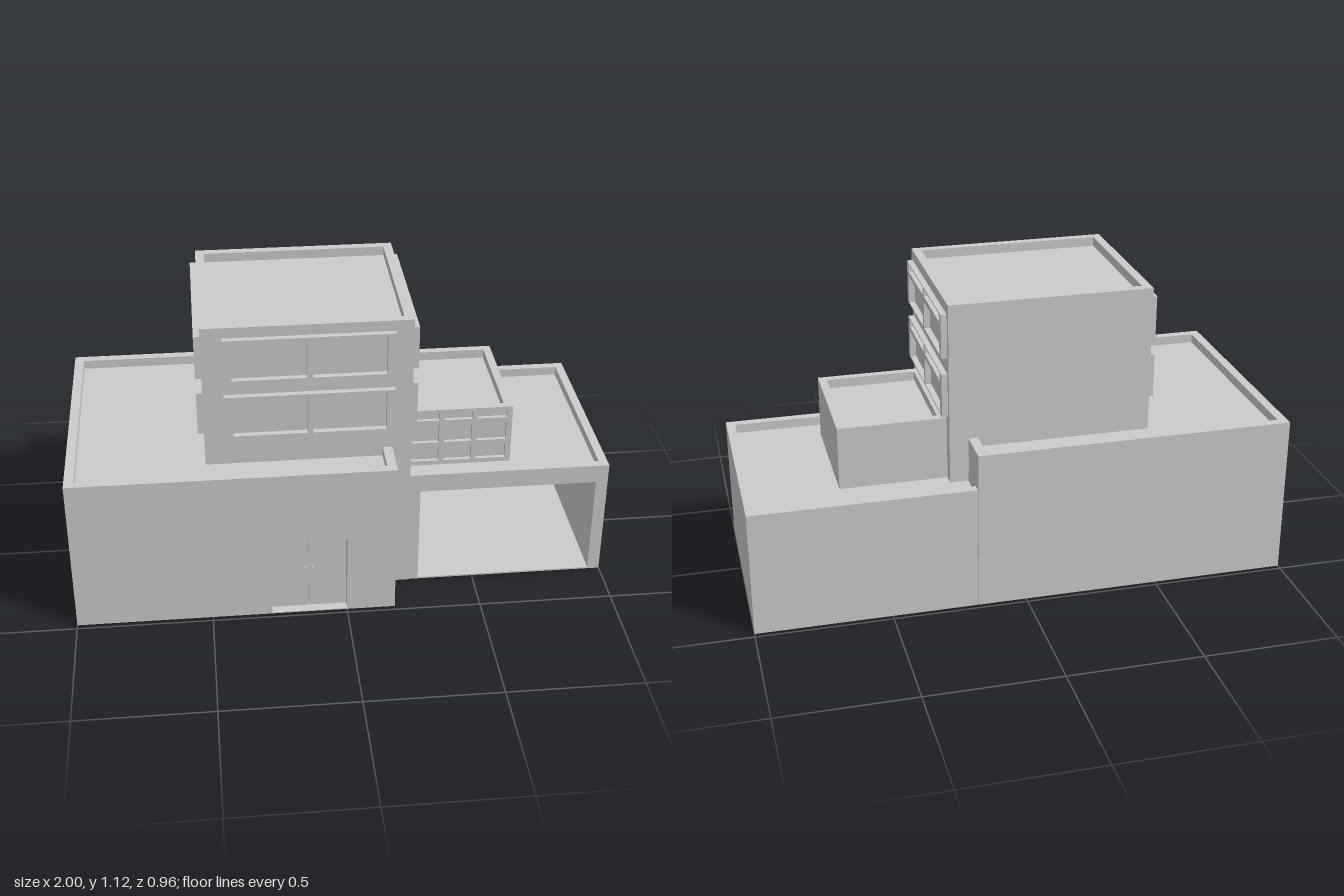
import * as THREE from 'three';

const mat = new THREE.MeshStandardMaterial({ color: 0xcccccc, flatShading: true, side: THREE.DoubleSide });

function add(parent, name, geometry, x = 0, y = 0, z = 0) {
  const mesh = new THREE.Mesh(geometry, mat);
  mesh.name = name;
  mesh.position.set(x, y, z);
  parent.add(mesh);
  return mesh;
}

// Rectangle [x0, x1, y0, y1] with rectangular holes
function rectShape([x0, x1, y0, y1], holes = []) {
  const pts = (a, b, c, d) => [[a, c], [b, c], [b, d], [a, d]].map(p => new THREE.Vector2(...p));
  const shape = new THREE.Shape(pts(x0, x1, y0, y1));
  for (const [a, b, c, d] of holes) shape.holes.push(new THREE.Path(pts(a, b, c, d).reverse()));
  return shape;
}

// Open-bottomed volume with a parapet and sunken roof; the front wall may have holes
function block(parent, name, { x0, x1, z0, z1, y0, y1, rim, leftRim = rim, sink = 0.035, holes = [] }) {
  const group = new THREE.Group();
  group.name = name;
  parent.add(group);
  const ring = (l, r, y) => [[x0 + l, y, z1 - r], [x1 - r, y, z1 - r], [x1 - r, y, z0 + r], [x0 + l, y, z0 + r]];
  const rings = [ring(0, 0, y0), ring(0, 0, y1), ring(leftRim, rim, y1), ring(leftRim, rim, y1 - sink)];
  const pos = [];
  const quad = (a, b, c, d) => pos.push(...a, ...b, ...c, ...a, ...c, ...d);
  for (let i = 0; i < 3; i++) {
    for (let j = 0; j < 4; j++) {
      if (i === 0 && j === 0) continue; // front wall is separate
      const k = (j + 1) % 4;
      quad(rings[i][j], rings[i][k], rings[i + 1][k], rings[i + 1][j]);
    }
  }
  quad(...rings[3]);
  const geo = new THREE.BufferGeometry();
  geo.setAttribute('position', new THREE.Float32BufferAttribute(pos, 3));
  geo.computeVertexNormals();
  add(group, name + 'WallsAndRoof', geo);
  add(group, name + 'FrontWall', new THREE.ShapeGeometry(rectShape([x0, x1, y0, y1], holes)), 0, 0, z1);
  return group;
}

// Box without its front face, lining an opening
function recess(parent, name, [x0, x1, y0, y1], zFront, depth) {
  const geo = new THREE.BoxGeometry(x1 - x0, y1 - y0, depth);
  const index = Array.from(geo.index.array);
  index.splice(24, 6);
  geo.setIndex(index);
  geo.clearGroups();
  return add(parent, name, geo, (x0 + x1) / 2, (y0 + y1) / 2, zFront - depth / 2);
}

// Projecting two-pane window frame, centred on its bottom edge, facing +z
function windowFrame(transom) {
  const holes = [];
  for (const [a, b] of [[-0.275, -0.01], [0.01, 0.275]]) {
    if (transom) holes.push([a, b, 0.006, 0.11], [a, b, 0.13, 0.16]);
    else holes.push([a, b, 0.006, 0.16]);
  }
  return new THREE.ExtrudeGeometry(rectShape([-0.305, 0.305, 0, 0.165], holes), { depth: 0.022, bevelEnabled: false });
}

export function createModel() {
  const model = new THREE.Group();
  model.name = 'building';

  // Main hall with recessed double door
  const door = [-0.28, 0, 0.004, 0.32];
  const hall = block(model, 'hall', { x0: -1, x1: 0.18, z0: -0.48, z1: 0.48, y0: 0, y1: 0.605, rim: 0.035, holes: [door] });
  recess(hall, 'doorRecess', door, 0.48, 0.04);
  for (const s of [-1, 1]) {
    add(hall, 'doorLeaf', new THREE.BoxGeometry(0.137, 0.312, 0.008), -0.14 + s * 0.07, 0.162, 0.444);
    add(hall, 'doorHandle', new THREE.BoxGeometry(0.004, 0.026, 0.004), -0.14 + s * 0.013, 0.173, 0.458);
    for (const y of [0.162, 0.184])
      add(hall, 'handleMount', new THREE.BoxGeometry(0.004, 0.004, 0.01), -0.14 + s * 0.013, y, 0.452);
  }

  // Garage wing, open to the front
  const opening = [0.29, 0.955, 0.006, 0.4];
  const garage = block(model, 'garage', {
    x0: 0.182, x1: 1, z0: -0.48, z1: 0.318, y0: 0, y1: 0.472, rim: 0.033, leftRim: 0, holes: [opening],
  });
  recess(garage, 'garageInterior', opening, 0.318, 0.755);

  // Tower with window frames on three sides and two floors
  const tower = block(model, 'tower', { x0: -0.5, x1: 0.25, z0: -0.33, z1: 0.32, y0: 0, y1: 1.12, rim: 0.033 });
  for (const y of [0.69, 0.915]) {
    add(tower, 'frontWindow', windowFrame(false), -0.12, y, 0.32);
    add(tower, 'leftWindow', windowFrame(true), 0.25, y, -0.005).rotation.y = Math.PI / 2;
    add(tower, 'rightWindow', windowFrame(true), -0.5, y, -0.005).rotation.y = -Math.PI / 2;
  }

  // Roof room with a grid of small recessed panes
  const panes = [];
  for (const [a, b] of [[0.265, 0.373], [0.393, 0.497], [0.517, 0.627]])
    for (const [c, d] of [[0.455, 0.515], [0.535, 0.612], [0.63, 0.661]]) panes.push([a, b, c, d]);
  const room = block(model, 'roofRoom', {
    x0: 0.25, x1: 0.648, z0: -0.285, z1: 0.195, y0: 0.437, y1: 0.675, rim: 0.03, holes: panes,
  });
  for (const p of panes) recess(room, 'windowPane', p, 0.195, 0.015);

  return model;
}
